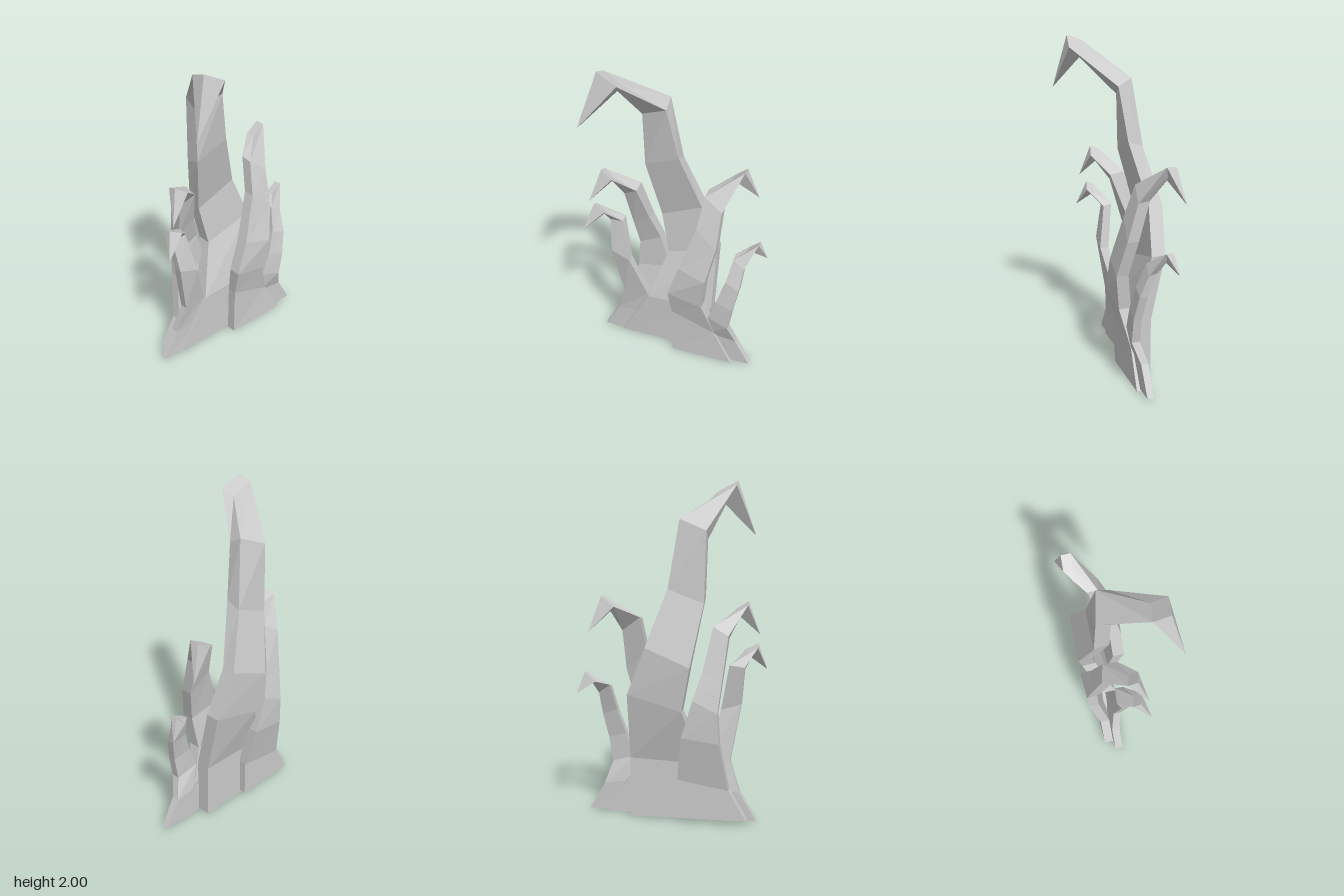
import * as THREE from 'three';

// Each claw is a four-sided loft ending in a point.
// Ring: [left x, y, z, right x, y, z, depth, rise of the back edge]
const claws = {
  tallClaw: {
    rings: [
      [-0.38, 0.01, -0.05, 0.24, 0.01, -0.05, 0.085, 0],
      [-0.19, 0.35, -0.045, 0.24, 0.37, -0.05, 0.085, 0],
      [-0.08, 0.68, -0.14, 0.24, 0.77, -0.135, 0.085, 0],
      [-0.13, 0.94, -0.165, 0.13, 1.05, -0.155, 0.085, 0],
      [-0.20, 1.33, -0.075, 0.01, 1.41, -0.07, 0.09, -0.03],
      [-0.21, 1.66, -0.07, -0.05, 1.725, -0.03, 0.078, 0.05],
      [-0.355, 2.0, 0.19, -0.235, 1.94, 0.21, 0.09, -0.03]],
    tip: [-0.46, 1.68, 0.255]
  },
  frontLeftClaw: {
    rings: [
      [0, 0, 0.01, 0.4, 0, 0.01, 0.06, 0],
      [0, 0.33, 0.02, 0.28, 0.22, 0.005, 0.06, 0],
      [-0.012, 0.51, 0.065, 0.205, 0.45, 0.055, 0.075, 0],
      [0.055, 0.72, 0.06, 0.232, 0.67, 0.08, 0.075, 0],
      [0.15, 1.0, 0.01, 0.28, 0.89, 0.03, 0.07, 0],
      [0.18, 1.2, -0.05, 0.29, 1.12, -0.03, 0.07, 0.01],
      [0.31, 1.28, -0.165, 0.385, 1.34, -0.16, 0.058, 0]],
    tip: [0.455, 1.135, -0.255]
  },
  outerLeftClaw: {
    rings: [
      [0.22, 0.01, -0.012, 0.515, 0.01, -0.012, 0.04, 0],
      [0.23, 0.2, -0.008, 0.42, 0.18, -0.008, 0.045, 0],
      [0.24, 0.35, 0.02, 0.375, 0.31, 0.035, 0.05, 0],
      [0.29, 0.49, 0.02, 0.4, 0.46, 0.035, 0.05, 0],
      [0.34, 0.64, 0, 0.43, 0.61, 0.01, 0.05, 0],
      [0.37, 0.79, -0.05, 0.44, 0.74, -0.04, 0.05, 0.01],
      [0.44, 0.83, -0.12, 0.505, 0.885, -0.115, 0.045, 0]],
    tip: [0.55, 0.76, -0.182]
  },
  backRightClaw: {
    rings: [
      [-0.455, 0.03, -0.12, -0.05, 0.03, -0.12, 0.058, 0],
      [-0.35, 0.21, -0.12, -0.05, 0.26, -0.12, 0.058, 0],
      [-0.3, 0.5, -0.175, -0.08, 0.53, -0.175, 0.063, 0],
      [-0.29, 0.68, -0.18, -0.145, 0.75, -0.175, 0.065, 0],
      [-0.31, 0.85, -0.135, -0.2, 0.92, -0.125, 0.075, 0],
      [-0.34, 1.1, -0.07, -0.25, 1.15, -0.045, 0.085, 0.015],
      [-0.44, 1.3, 0.025, -0.368, 1.255, 0.045, 0.055, -0.02]],
    tip: [-0.505, 1.1, 0.08]
  },
  outerRightClaw: {
    rings: [
      [-0.51, 0.01, -0.065, -0.16, 0.01, -0.065, 0.05, 0],
      [-0.41, 0.18, -0.065, -0.18, 0.2, -0.07, 0.05, 0],
      [-0.35, 0.36, -0.04, -0.195, 0.36, -0.055, 0.05, 0],
      [-0.41, 0.7, 0, -0.29, 0.66, 0.01, 0.055, 0],
      [-0.43, 0.91, -0.04, -0.34, 0.92, -0.03, 0.05, 0.015],
      [-0.5, 1.05, 0.035, -0.425, 1.015, 0.055, 0.045, -0.02]],
    tip: [-0.55, 0.89, 0.092]
  }
};

function clawGeometry({ rings, tip }) {
  const positions = [], index = [];
  for (const [lx, ly, lz, rx, ry, rz, d, rise] of rings) {
    positions.push(lx, ly, lz, rx, ry, rz, rx, ry + rise, rz - d, lx, ly + rise, lz - d);
  }
  positions.push(...tip);
  const last = (rings.length - 1) * 4, tipIndex = rings.length * 4;
  // Flat underside and the top of the last knuckle
  index.push(0, 2, 1, 0, 3, 2);
  index.push(last, last + 1, last + 2, last, last + 2, last + 3);
  for (let side = 0; side < 4; side++) {
    const next = (side + 1) % 4;
    for (let r = 0; r < last; r += 4) {
      const a = r + side, b = r + next;
      index.push(a, b, b + 4, a, b + 4, a + 4);
    }
    // Pointed nail, folded down from the knuckle
    index.push(last + side, last + next, tipIndex);
  }
  const indexed = new THREE.BufferGeometry();
  indexed.setAttribute('position', new THREE.Float32BufferAttribute(positions, 3));
  indexed.setIndex(index);
  const geometry = indexed.toNonIndexed();
  geometry.computeVertexNormals();
  return geometry;
}

export function createModel() {
  const model = new THREE.Group();
  model.name = 'clawCluster';
  const material = new THREE.MeshStandardMaterial({
    color: 0xcccccc, flatShading: true, side: THREE.DoubleSide
  });
  for (const [name, claw] of Object.entries(claws)) {
    const mesh = new THREE.Mesh(clawGeometry(claw), material);
    mesh.name = name;
    model.add(mesh);
  }
  return model;
}
